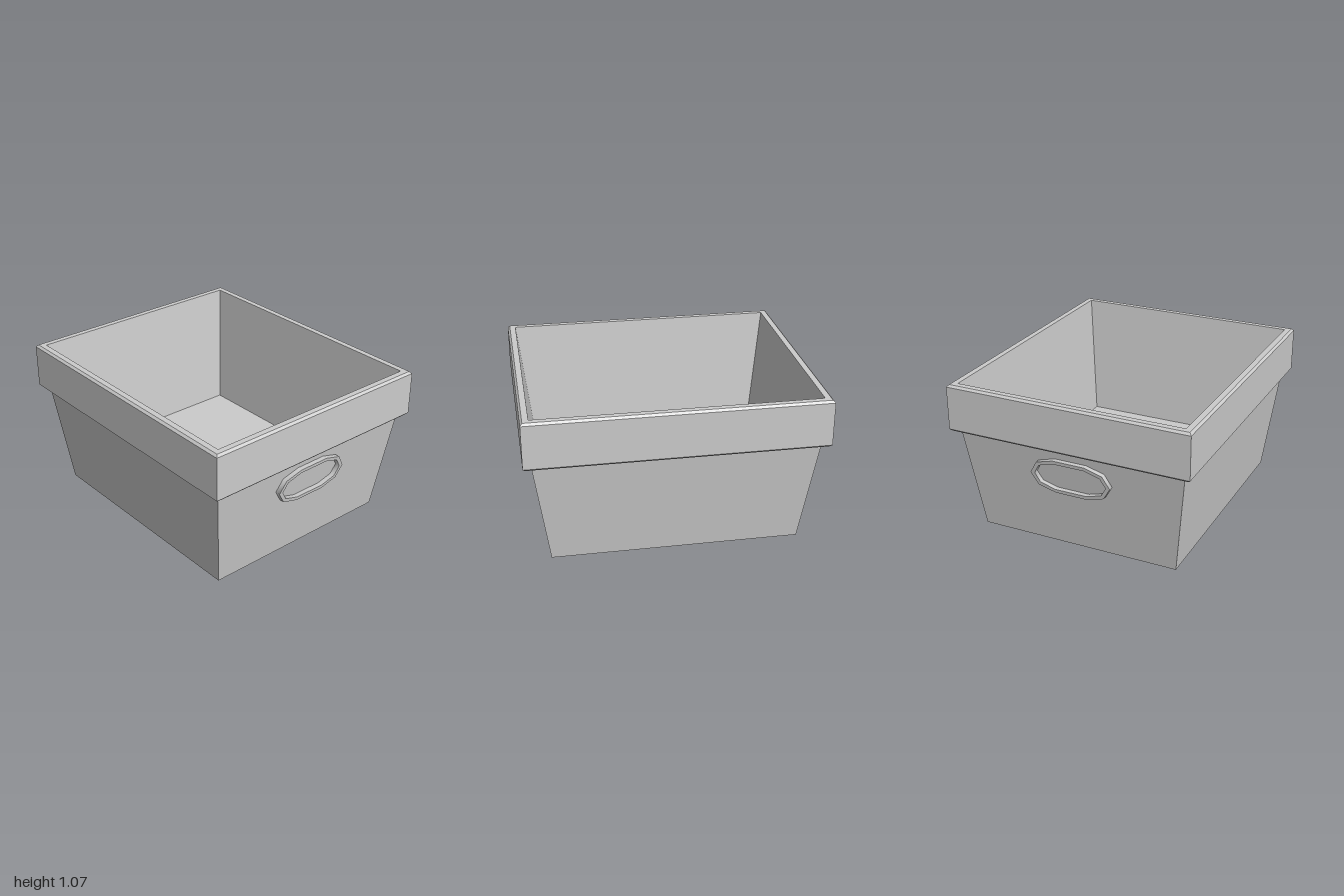
import * as THREE from 'three';
import { toCreasedNormals } from 'three/addons/utils/BufferGeometryUtils.js';

const material = new THREE.MeshStandardMaterial({ color: 0xcccccc });

function addMesh(parent, name, geometry) {
  const mesh = new THREE.Mesh(geometry, material);
  mesh.name = name;
  parent.add(mesh);
  return mesh;
}

// Skin through rectangular sections [halfX, y, halfZ], with flat faces
function loftRects(sections) {
  const corners = [[1, 1], [1, -1], [-1, -1], [-1, 1]];
  const at = ([hx, y, hz], i) => [corners[i % 4][0] * hx, y, corners[i % 4][1] * hz];
  const positions = [];
  for (let s = 0; s < sections.length - 1; s++) {
    const a = sections[s], b = sections[s + 1];
    for (let i = 0; i < 4; i++) {
      // Skip the collapsed triangle where a section is a single point
      if (a[0] > 0) positions.push(...at(a, i), ...at(a, i + 1), ...at(b, i + 1));
      if (b[0] > 0) positions.push(...at(a, i), ...at(b, i + 1), ...at(b, i));
    }
  }
  const geometry = new THREE.BufferGeometry();
  geometry.setAttribute('position', new THREE.Float32BufferAttribute(positions, 3));
  geometry.computeVertexNormals();
  return geometry;
}

// Ten-sided outline from its upper right corners
function handleOutline(endX, midX, midY, topY, flatX) {
  return [
    [endX, 0], [midX, midY], [flatX, topY], [-flatX, topY], [-midX, midY],
    [-endX, 0], [-midX, -midY], [-flatX, -topY], [flatX, -topY], [midX, -midY],
  ].map(([x, y]) => new THREE.Vector2(x, y));
}

// Ring sheared so that it follows the sloping wall
function handleGeometry(slope) {
  const shape = new THREE.Shape(handleOutline(0.287, 0.237, 0.086, 0.123, 0.113));
  shape.holes.push(new THREE.Path(handleOutline(0.257, 0.22, 0.065, 0.098, 0.113)));
  const geometry = new THREE.ExtrudeGeometry(shape, { depth: 0.045, bevelEnabled: false });
  geometry.applyMatrix4(new THREE.Matrix4().makeShear(0, 0, 0, slope, 0, 0));
  const p = geometry.attributes.position;
  for (let i = 0; i < p.count; i++) p.setZ(i, (p.getZ(i) > 0.022 ? 0.035 : -0.01) + p.getY(i) * slope);
  return toCreasedNormals(geometry, 1.1);
}

export function createModel() {
  const group = new THREE.Group();
  group.name = 'storageBin';

  // Tapered outer walls and underside
  const base = [0.713, 0, 0.842];
  const wallTop = [0.803, 0.74, 0.945];
  addMesh(group, 'body', loftRects([[0, 0, 0], base, wallTop]));

  // Chamfered band around the opening
  const mouth = [0.803, 1.07, 0.945];
  addMesh(group, 'rim', loftRects([
    wallTop, [0.843, 0.74, 0.985], [0.858, 0.755, 1],
    [0.858, 1.055, 1], [0.843, 1.07, 0.985], mouth,
  ]));

  // Inner walls down to the raised floor
  addMesh(group, 'interior', loftRects([mouth, [0.715, 0.2, 0.842], [0, 0.2, 0]]));

  // Handle rings on the front and back walls
  const slope = (wallTop[2] - base[2]) / wallTop[1];
  const handleY = 0.545;
  const geometry = handleGeometry(slope);
  for (const side of [1, -1]) {
    const handle = addMesh(group, side > 0 ? 'frontHandle' : 'backHandle', geometry);
    handle.position.set(-0.01, handleY, side * (base[2] + slope * handleY));
    handle.rotation.y = side > 0 ? 0 : Math.PI;
  }

  return group;
}
